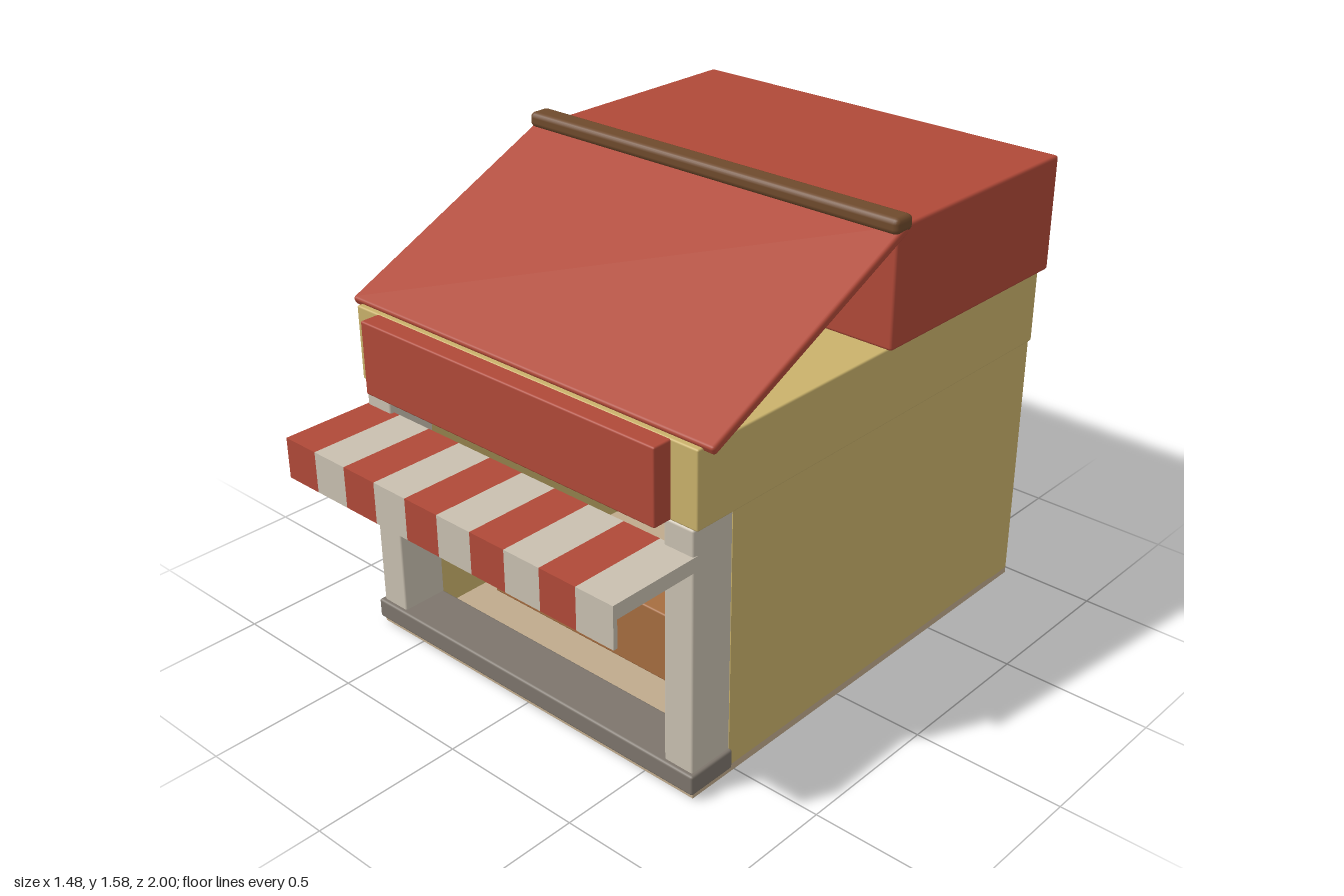
import * as THREE from 'three';
import { RoundedBoxGeometry } from 'three/addons/geometries/RoundedBoxGeometry.js';

const paint = (name, color) => {
  const m = new THREE.MeshStandardMaterial({ color });
  m.name = name;
  return m;
};

export function createModel() {
  const red = paint('brick red', 0xb04938);
  const yellow = paint('straw yellow', 0xcab26b);
  const cream = paint('cream', 0xc9c0b0);
  const stone = paint('stone grey', 0x7d756c);
  const brown = paint('dark brown', 0x6f4a2c);
  const wood = paint('light wood', 0xa66d40);
  const tan = paint('floor tan', 0xc0aa8c);
  const teal = paint('teal', 0x36997f);
  const pink = paint('pink', 0xcb568c);
  const blue = paint('blue', 0x4180bd);

  const root = new THREE.Group();
  root.name = 'shop';

  // Box given by its extents; bevel > 0 rounds the edges
  const box = (name, mat, [x0, x1], [y0, y1], [z0, z1], bevel = 0, parent = root) => {
    const s = [x1 - x0, y1 - y0, z1 - z0];
    const geo = bevel ? new RoundedBoxGeometry(...s, 2, bevel) : new THREE.BoxGeometry(...s);
    const mesh = new THREE.Mesh(geo, mat);
    mesh.name = name;
    mesh.position.set((x0 + x1) / 2, (y0 + y1) / 2, (z0 + z1) / 2);
    parent.add(mesh);
    return mesh;
  };

  // Ground floor: slab, walls, front posts and step
  box('floor', tan, [-0.69, 0.69], [0, 0.025], [-0.97, 0.685]);
  box('backWall', yellow, [-0.69, 0.69], [0.02, 0.905], [-0.97, -0.87]);
  for (const s of [-1, 1]) {
    const span = (a, b) => (s > 0 ? [a, b] : [-b, -a]);
    const side = s > 0 ? 'left' : 'right';
    box(side + 'Wall', yellow, span(0.585, 0.69), [0.02, 0.905], [-0.97, 0.525]);
    box(side + 'Post', cream, span(0.578, 0.688), [0.02, 0.902], [0.52, 0.685], 0.008);
  }
  box('doorHeader', yellow, [-0.585, 0.585], [0.8, 0.905], [0.5, 0.56]);
  box('frontStep', stone, [-0.7, 0.7], [0.02, 0.088], [0.52, 0.7], 0.008);

  // Upper band and sign board
  box('upperBand', yellow, [-0.702, 0.702], [0.902, 1.152], [-0.97, 0.685], 0.006);
  box('signBoard', red, [-0.605, 0.605], [0.903, 1.15], [0.67, 0.75], 0.006);

  // Roof: rear block, leaning front panel and ridge beam
  box('rearRoof', red, [-0.718, 0.718], [1.15, 1.535], [-1, -0.145], 0.01);
  const a = new THREE.Vector2(0.665, 1.15), b = new THREE.Vector2(-0.165, 1.535);
  const panel = new THREE.Mesh(new RoundedBoxGeometry(1.48, 0.03, a.distanceTo(b), 2, 0.01), red);
  panel.name = 'frontRoofPanel';
  panel.position.set(0, (a.y + b.y) / 2, (a.x + b.x) / 2);
  panel.rotation.x = Math.atan2(b.y - a.y, a.x - b.x);
  root.add(panel);
  box('ridgeBeam', brown, [-0.742, 0.742], [1.525, 1.576], [-0.186, -0.105], 0.018);

  // Striped awning with a hanging front edge
  const awning = new THREE.Group();
  awning.name = 'awning';
  root.add(awning);
  for (let i = 0; i < 10; i++) {
    const x = [-0.69 + i * 0.138, -0.69 + (i + 1) * 0.138];
    const mat = i % 2 ? cream : red;
    box('awningStripe', mat, x, [0.77, 0.818], [0.67, 0.985], 0, awning);
    box('awningValance', mat, x, [0.68, 0.818], [0.985, 1], 0, awning);
  }

  // Counter
  box('counter', wood, [-0.52, 0.52], [0.025, 0.275], [0.07, 0.34], 0.006);

  // Shelves with rows of goods
  const shelves = new THREE.Group();
  shelves.name = 'shelves';
  root.add(shelves);
  box('shelfBack', brown, [-0.585, 0.585], [0.025, 0.82], [-0.87, -0.8], 0, shelves);
  const colours = [red, blue, yellow, teal, pink, cream];
  for (let row = 0; row < 3; row++) {
    const y = 0.06 + row * 0.208;
    box('shelfBoard', brown, [-0.585, 0.585], [y - 0.025, y], [-0.8, -0.64], 0, shelves);
    for (let i = 0; i < 10; i++) {
      const x = -0.54 + i * 0.1045;
      box('goods', colours[(i + row) % 6], [x, x + 0.083], [y, y + 0.107], [-0.76, -0.67], 0, shelves);
    }
  }
  return root;
}
